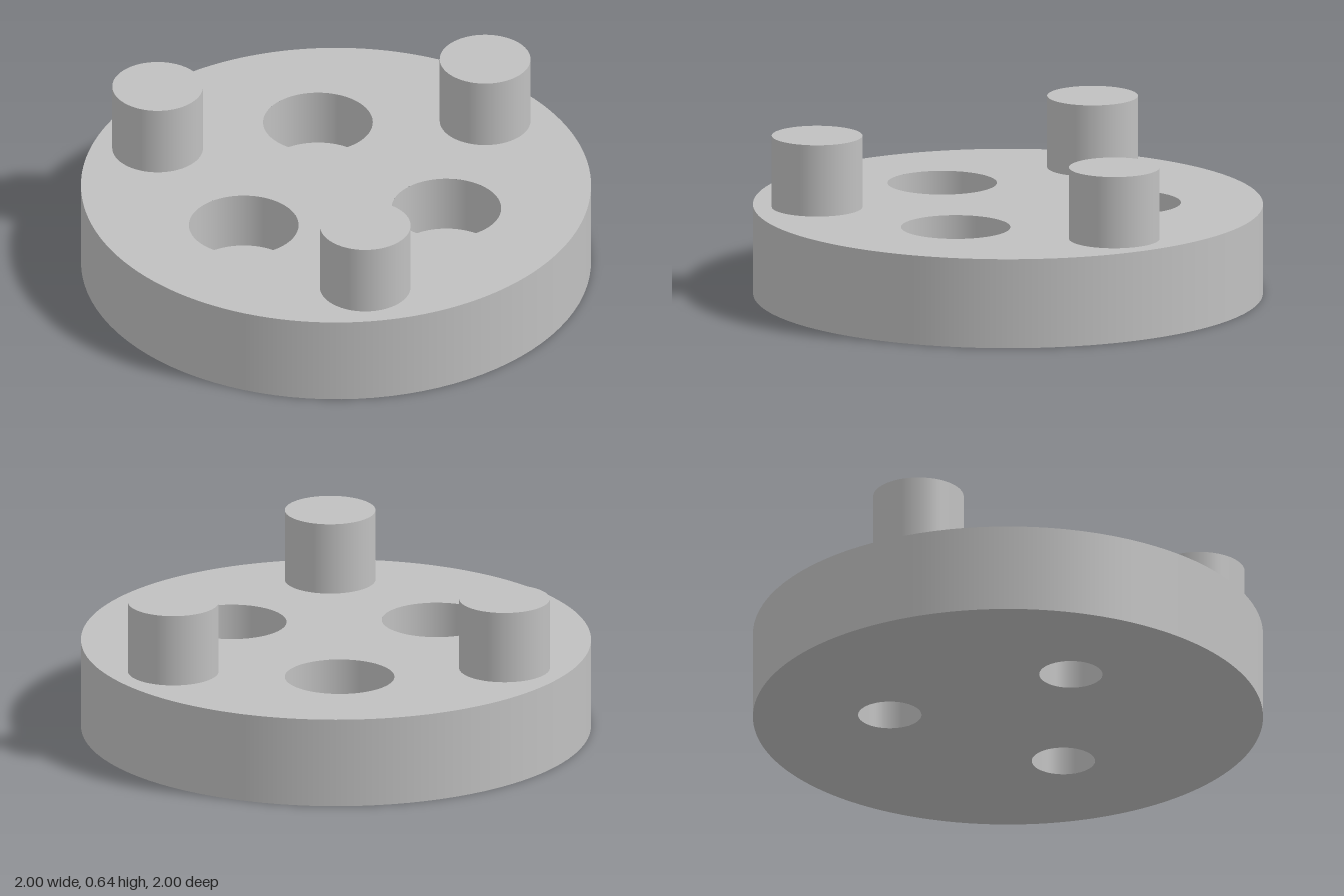
import * as THREE from 'three';

const SEG = 96;
const DISC_R = 1, DISC_H = 0.357;
const PEG_R = 0.178, PEG_H = 0.286, PEG_RING = 0.75;
const BORE_R = 0.215, HOLE_R = 0.124, LEDGE_Y = 0.125, HOLE_RING = 0.464;

// Three places spaced evenly on a ring, as [x, z]
const ring = (radius, start) => [0, 1, 2].map((i) => {
  const a = start + (i * Math.PI * 2) / 3;
  return [radius * Math.sin(a), radius * Math.cos(a)];
});

// Surface swept around the y axis by a single straight line
const sweep = (r0, y0, r1, y1) =>
  new THREE.LatheGeometry([new THREE.Vector2(r0, y0), new THREE.Vector2(r1, y1)], SEG);

// Flat round face with three holes, facing up (+1) or down (-1)
function face(holes, holeR, up) {
  const shape = new THREE.Shape().absarc(0, 0, DISC_R, 0, Math.PI * 2);
  for (const [x, z] of holes) {
    shape.holes.push(new THREE.Path().absarc(x, -up * z, holeR, 0, Math.PI * 2, true));
  }
  return new THREE.ShapeGeometry(shape, SEG).rotateX((-up * Math.PI) / 2);
}

export function createModel() {
  const model = new THREE.Group();
  model.name = 'peggedDisc';
  const grey = new THREE.MeshStandardMaterial({ color: 0xc0c0c0 });
  grey.name = 'grey';

  const add = (parent, name, geometry, x = 0, y = 0, z = 0) => {
    const mesh = new THREE.Mesh(geometry, grey);
    mesh.name = name;
    mesh.position.set(x, y, z);
    parent.add(mesh);
  };

  // Disc shell
  const holes = ring(HOLE_RING, Math.PI);
  const disc = new THREE.Group();
  disc.name = 'disc';
  model.add(disc);
  add(disc, 'rim', sweep(DISC_R, 0, DISC_R, DISC_H));
  add(disc, 'topFace', face(holes, BORE_R, 1), 0, DISC_H, 0);
  add(disc, 'bottomFace', face(holes, HOLE_R, -1));

  // Counterbored through holes: wide bore, ledge, narrow hole
  for (const [x, z] of holes) {
    const hole = new THREE.Group();
    hole.name = 'counterboredHole';
    hole.position.set(x, 0, z);
    disc.add(hole);
    add(hole, 'boreWall', sweep(BORE_R, DISC_H, BORE_R, LEDGE_Y));
    add(hole, 'boreLedge', sweep(BORE_R, LEDGE_Y, HOLE_R, LEDGE_Y));
    add(hole, 'holeWall', sweep(HOLE_R, LEDGE_Y, HOLE_R, 0));
  }

  // Round pegs standing on the disc
  for (const [x, z] of ring(PEG_RING, 0)) {
    add(model, 'peg', new THREE.CylinderGeometry(PEG_R, PEG_R, PEG_H, SEG), x, DISC_H + PEG_H / 2, z);
  }
  return model;
}
